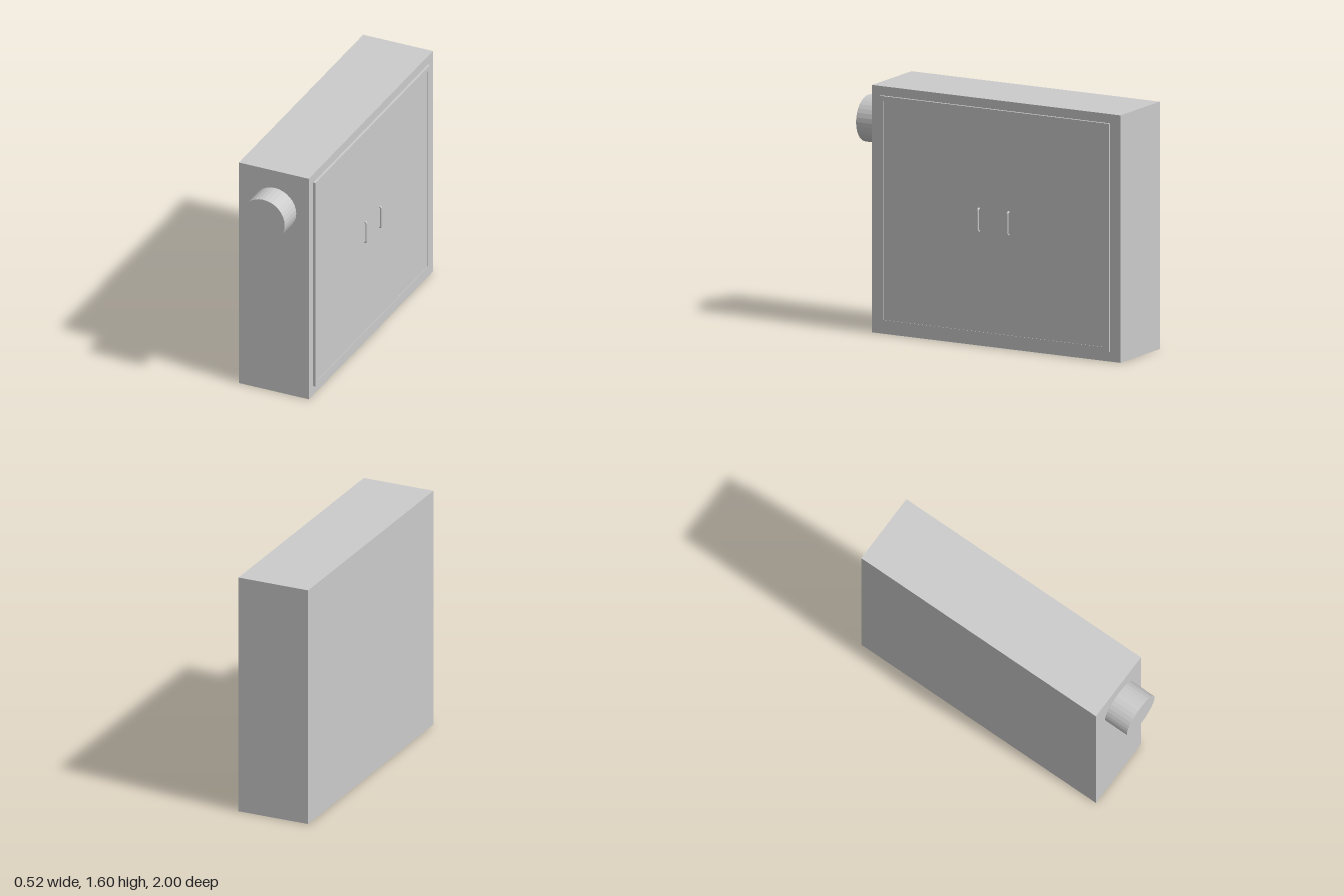
import * as THREE from 'three';

export function createModel() {
  const model = new THREE.Group();
  const mat = new THREE.MeshStandardMaterial({ color: 0xcccccc, flatShading: true });
  const smooth = new THREE.MeshStandardMaterial({ color: 0xcccccc });

  function add(name, geometry, x, y, z, material = mat) {
    const mesh = new THREE.Mesh(geometry, material);
    mesh.name = name;
    mesh.position.set(x, y, z);
    model.add(mesh);
    return mesh;
  }

  // Cabinet body
  add('cabinetBody', new THREE.BoxGeometry(0.49, 1.603, 1.83), -0.018, 0.8015, -0.085);

  // Raised door frame on the +x side
  const doorY = 0.803, doorZ = -0.08, doorW = 1.69, doorH = 1.48, border = 0.03;
  const rect = (target, w, h) => {
    target.moveTo(-w / 2, -h / 2);
    target.lineTo(w / 2, -h / 2);
    target.lineTo(w / 2, h / 2);
    target.lineTo(-w / 2, h / 2);
    target.closePath();
    return target;
  };
  const frame = rect(new THREE.Shape(), doorW, doorH);
  frame.holes.push(rect(new THREE.Path(), doorW - 2 * border, doorH - 2 * border));
  add('doorFrame', new THREE.ExtrudeGeometry(frame, { depth: 0.016, bevelEnabled: false }),
    0.227, doorY, doorZ).rotation.y = Math.PI / 2;

  // Door panel, set slightly back inside the frame
  add('doorPanel', new THREE.BoxGeometry(0.013, doorH - 2 * border, doorW - 2 * border),
    0.2335, doorY, doorZ);

  // Pair of bent bar handles
  const bar = new THREE.CurvePath();
  const v = (x, y) => new THREE.Vector3(x, y, 0);
  const r = 0.007, half = 0.073, reach = 0.0125, bend = 0.011;
  bar.add(new THREE.LineCurve3(v(-0.006, -half), v(reach - bend, -half)));
  bar.add(new THREE.QuadraticBezierCurve3(v(reach - bend, -half), v(reach, -half), v(reach, -half + bend)));
  bar.add(new THREE.LineCurve3(v(reach, -half + bend), v(reach, half - bend)));
  bar.add(new THREE.QuadraticBezierCurve3(v(reach, half - bend), v(reach, half), v(reach - bend, half)));
  bar.add(new THREE.LineCurve3(v(reach - bend, half), v(-0.006, half)));
  const handle = new THREE.TubeGeometry(bar, 64, r, 12);
  for (const z of [0.035, -0.183]) add('doorHandle', handle, 0.24, 0.817, z, smooth);

  // Round duct on the front
  add('ductOutlet', new THREE.CylinderGeometry(0.151, 0.151, 0.18, 32), -0.012, 1.328, 0.91)
    .rotation.x = Math.PI / 2;

  return model;
}
